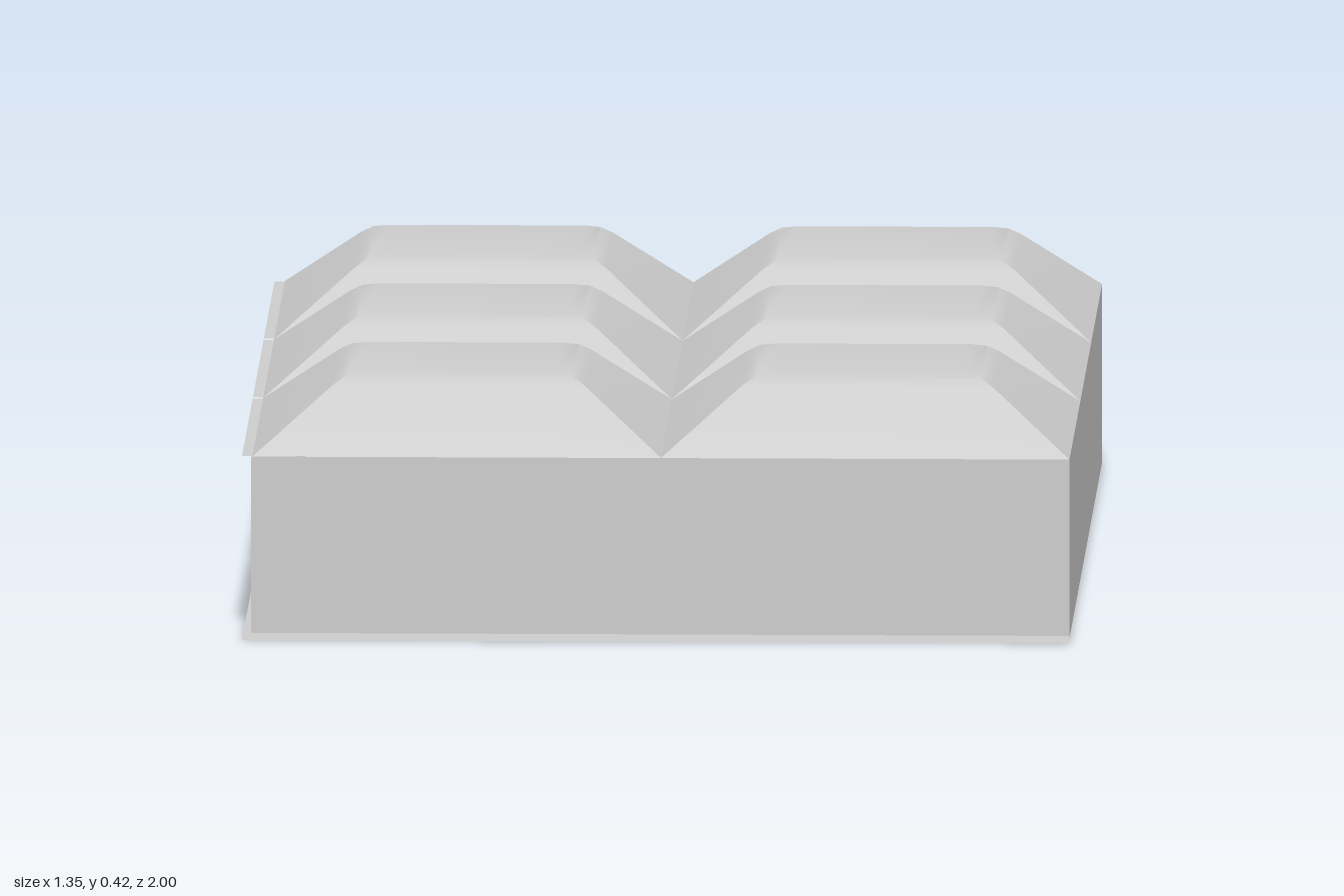
import * as THREE from 'three';
import { toCreasedNormals } from 'three/addons/utils/BufferGeometryUtils.js';

const material = new THREE.MeshStandardMaterial({ color: 0xcccccc, side: THREE.DoubleSide });

export function createModel() {
  const group = new THREE.Group();
  const add = (name, geometry, x, y, z) => {
    const mesh = new THREE.Mesh(geometry, material);
    mesh.name = name;
    mesh.position.set(x, y, z);
    group.add(mesh);
    return mesh;
  };

  const right = 0.673, left = -0.675, rim = 0.302;

  // Raised square tiles: a four-sided profile with sloped flanks and a soft top edge
  const half = 0.333;
  const profile = [[half, 0], [0.205, 0.1], [0.185, 0.112], [0.16, 0.118], [0, 0.118]]
    .map(([r, y]) => new THREE.Vector2(r * Math.SQRT2, y));
  const tile = toCreasedNormals(new THREE.LatheGeometry(profile, 4, Math.PI / 4), 0.7);
  for (const z of [-2 / 3, 0, 2 / 3]) {
    for (const x of [-0.325, 0.34]) add('tile', tile, x, rim, z);

    // Narrow flat lip along the open side
    const lip = new THREE.PlaneGeometry(0.025, 0.65).rotateX(-Math.PI / 2);
    add('lip', lip, left + 0.0125, rim, z);
  }

  // Front, back and side walls; the -x side stays open
  const wall = (name, x0, y0, z) => add(name,
    new THREE.PlaneGeometry(right - x0, rim - y0), (x0 + right) / 2, (y0 + rim) / 2, z);
  wall('frontWall', -0.66, 0.012, 1);
  wall('backWall', -0.6, 0.008, -1).rotation.y = Math.PI;
  add('sideWall', new THREE.PlaneGeometry(2, rim - 0.008), right, (rim + 0.008) / 2, 0)
    .rotation.y = Math.PI / 2;

  // Flat base
  add('base', new THREE.PlaneGeometry(right - left, 2).rotateX(Math.PI / 2), (left + right) / 2, 0, 0);

  return group;
}
